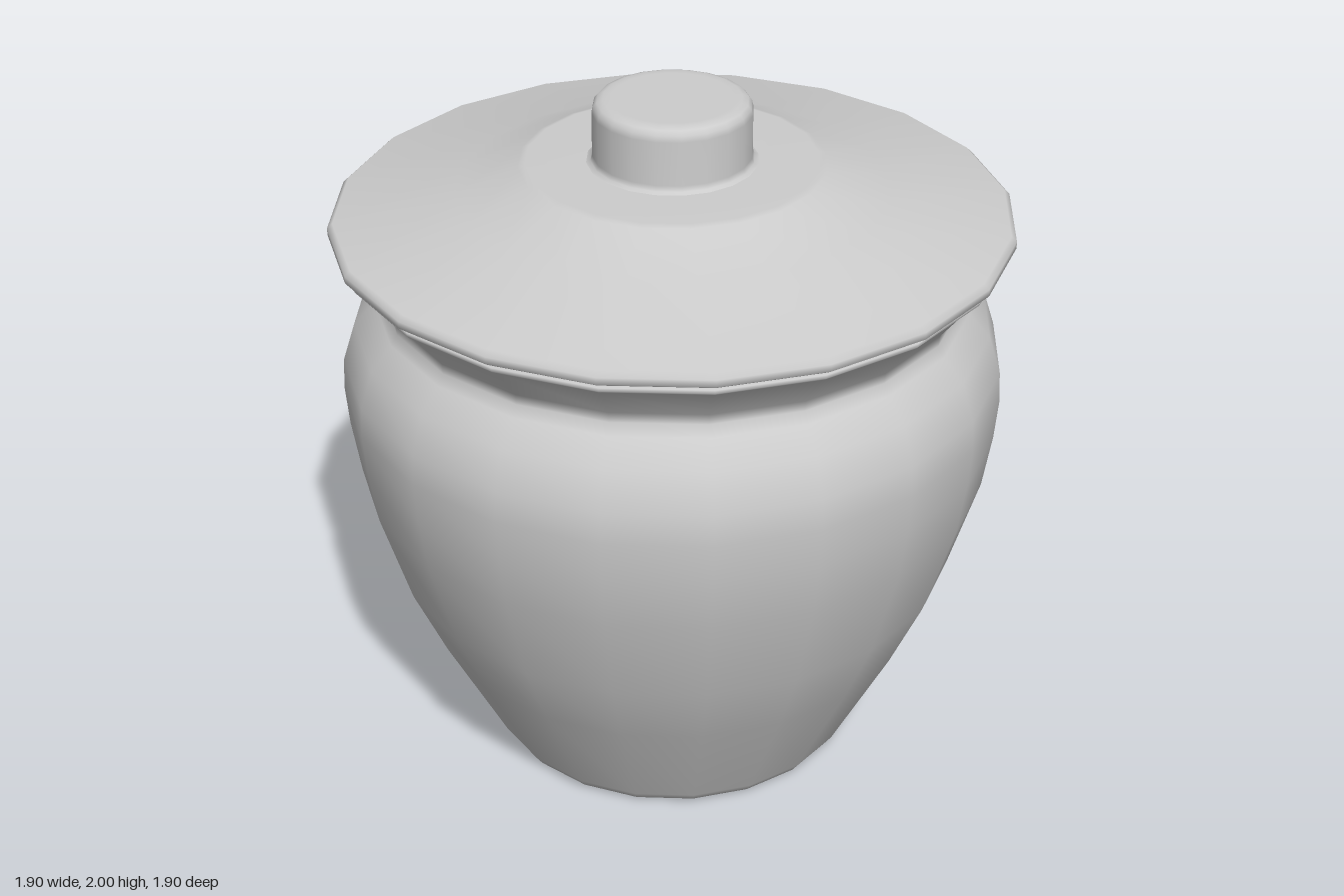
import * as THREE from 'three';

const SIDES = 20;
const clay = new THREE.MeshStandardMaterial({ color: 0xcccccc });
clay.name = 'greyClay';

// Turn a [radius, height] profile, listed from the bottom outward and up
function turned(name, profile) {
  const points = profile.map(([r, y]) => new THREE.Vector2(r, y));
  const mesh = new THREE.Mesh(new THREE.LatheGeometry(points, SIDES), clay);
  mesh.name = name;
  return mesh;
}

export function createModel() {
  const group = new THREE.Group();
  group.name = 'liddedJar';

  // Hollow jar: foot, belly, neck, flared lip, then down the inner wall
  group.add(turned('jarBody', [
    [0, 0], [0.48, 0], [0.5, 0.002], [0.525, 0.012], [0.545, 0.04],
    [0.72, 0.385], [0.815, 0.6], [0.9, 0.88], [0.925, 1.04], [0.935, 1.16],
    [0.93, 1.25], [0.895, 1.36], [0.835, 1.425], [0.816, 1.455], [0.818, 1.485],
    [0.9, 1.59], [0.918, 1.6], [0.925, 1.607], [0.925, 1.617], [0.915, 1.623],
    [0.85, 1.623], [0.76, 1.49], [0.76, 1.44], [0.87, 1.25], [0.87, 1.1],
    [0.75, 0.6], [0.5, 0.08], [0, 0.06],
  ]));

  // Sloping lid with a rounded rim and a raised flat centre
  group.add(turned('lid', [
    [0, 1.625], [0.9, 1.625], [0.935, 1.63], [0.95, 1.64], [0.95, 1.66],
    [0.935, 1.674], [0.6, 1.742], [0.425, 1.814], [0.405, 1.82], [0.2, 1.82], [0, 1.82],
  ]));

  // Round knob with a small fillet at its foot and a softened top edge
  group.add(turned('lidKnob', [
    [0.24, 1.819], [0.226, 1.825], [0.221, 1.84], [0.221, 1.965], [0.217, 1.982],
    [0.207, 1.994], [0.19, 2], [0.17, 2], [0, 2],
  ]));

  return group;
}
